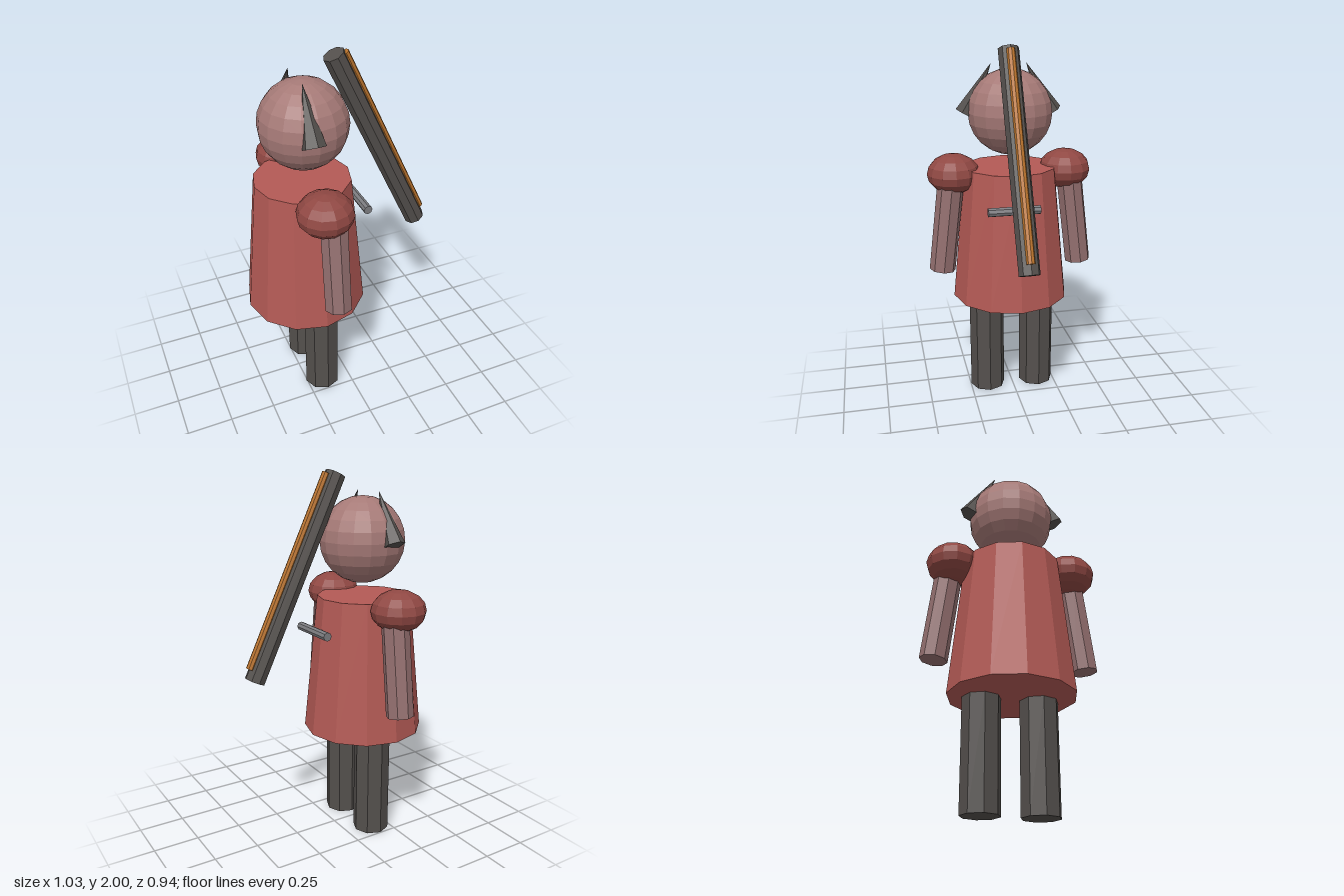
import * as THREE from 'three';

const material = (color) => new THREE.MeshStandardMaterial({ color, flatShading: true });
const red = material(0xb35a55);
const darkRed = material(0x904843);
const skin = material(0xa67a77);
const armSkin = material(0x947070);
const dark = material(0x54504d);
const steel = material(0x7c7c80);
const orange = material(0xb8722c);

export function createModel() {
  const model = new THREE.Group();
  model.name = 'hornedFigure';

  const add = (name, geometry, mat, x, y, z, parent = model) => {
    const mesh = new THREE.Mesh(geometry, mat);
    mesh.name = name;
    mesh.position.set(x, y, z);
    parent.add(mesh);
    return mesh;
  };
  const rod = (radius, length, sides = 8) => new THREE.CylinderGeometry(radius, radius, length, sides);

  // Tunic and head
  add('tunic', new THREE.CylinderGeometry(0.255, 0.33, 0.755, 12), red, -0.19, 0.957, 0);
  add('head', new THREE.SphereGeometry(0.23, 16, 12), skin, -0.175, 1.635, 0);

  // Paired parts, mirrored across the body
  for (const side of [1, -1]) {
    const label = side > 0 ? 'front' : 'back';
    add(label + 'Leg', rod(0.1, 0.58), dark, -0.155, 0.29, 0.147 * side);

    const shoulder = add(label + 'Shoulder', new THREE.SphereGeometry(0.145, 12, 8), darkRed, -0.19, 1.305, 0.315 * side);
    shoulder.scale.y = 0.76;

    const arm = add(label + 'Arm', rod(0.073, 0.5), armSkin, -0.155, 1.01, 0.366 * side);
    arm.rotation.x = -0.122 * side;

    const horn = add(label + 'Horn', new THREE.ConeGeometry(0.06, 0.3, 6), dark, -0.21, 1.757, 0.166 * side);
    horn.rotation.x = -0.487 * side;
  }

  // Crossbar at the chest
  const bar = add('chestBar', rod(0.024, 0.28), steel, 0.106, 1.16, 0.036);
  bar.rotation.x = Math.PI / 2;

  // Slanted staff with a thin strip along its outer side
  const staff = new THREE.Group();
  staff.name = 'staff';
  staff.position.set(0.2175, 1.458, 0.037);
  staff.rotation.z = 0.4457;
  model.add(staff);
  add('staffShaft', rod(0.055, 1.148), dark, 0, 0, 0, staff);
  add('staffStrip', rod(0.022, 1.075), orange, 0.052, 0.0165, 0, staff);

  return model;
}
